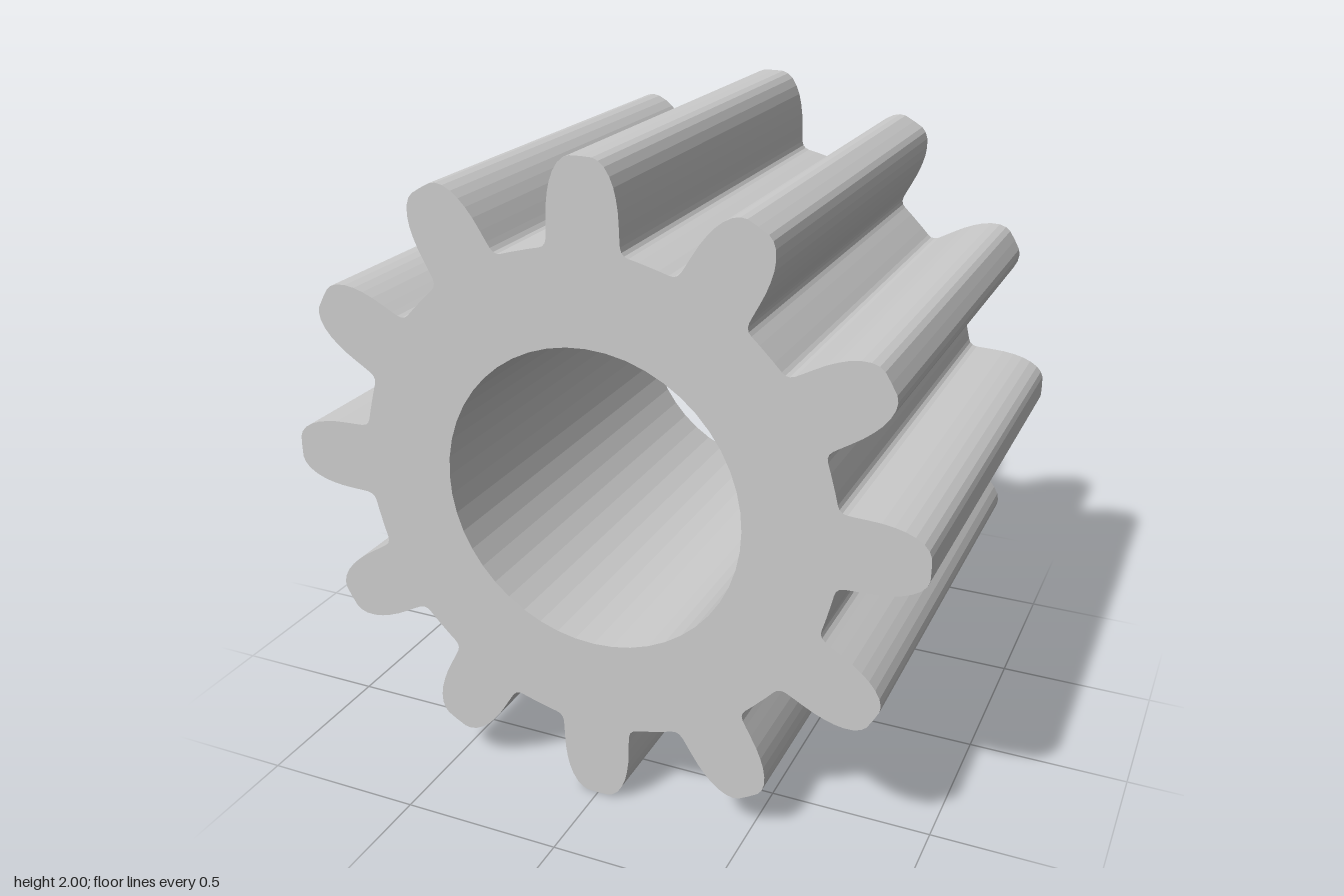
import * as THREE from 'three';

const TEETH = 12;
const WIDTH = 1.426;
const BORE = 0.466;

// Half of one tooth pointing along +y: [half width, radius], from root to tip
const FLANK = [
  [0.165, 0.731], [0.135, 0.738], [0.123, 0.743], [0.115, 0.752], [0.111, 0.766],
  [0.11, 0.785], [0.109, 0.82], [0.107, 0.86], [0.102, 0.895], [0.095, 0.925],
  [0.084, 0.953], [0.069, 0.977], [0.052, 0.992], [0.034, 0.999], [0, 1],
];

function gearShape() {
  const left = FLANK.map(([x, y]) => new THREE.Vector2(-x, y));
  const right = FLANK.slice(0, -1).reverse().map(([x, y]) => new THREE.Vector2(x, y));
  const tooth = [...left, ...right];
  const outline = [];
  const origin = new THREE.Vector2();
  for (let i = 0; i < TEETH; i++) {
    const angle = (-i * Math.PI * 2) / TEETH;
    for (const p of tooth) outline.push(p.clone().rotateAround(origin, angle));
  }
  const shape = new THREE.Shape(outline);
  // Central shaft hole
  const bore = new THREE.Path();
  bore.absarc(0, 0, BORE, 0, Math.PI * 2, false);
  shape.holes.push(bore);
  return shape;
}

export function createModel() {
  const group = new THREE.Group();
  group.name = 'spurGear';

  // Straight-toothed body with its through bore
  const geometry = new THREE.ExtrudeGeometry(gearShape(), {
    depth: WIDTH, bevelEnabled: false, curveSegments: 24,
  });
  geometry.translate(0, 1, -WIDTH / 2);
  const gear = new THREE.Mesh(geometry, new THREE.MeshStandardMaterial({ color: 0xcccccc }));
  gear.name = 'gearBody';
  group.add(gear);
  return group;
}
